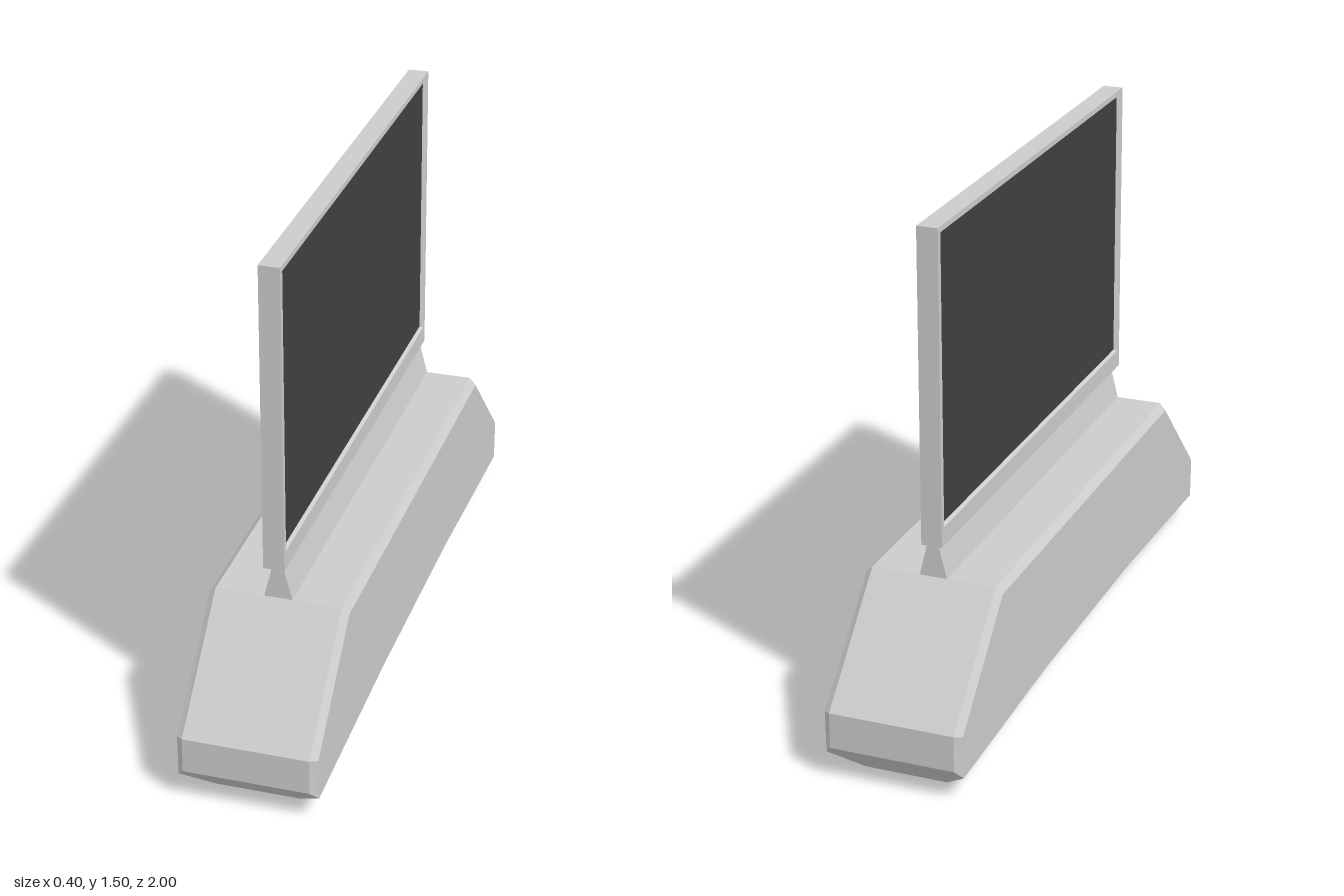
import * as THREE from 'three';

const grey = new THREE.MeshStandardMaterial({ color: 0xcccccc, flatShading: true });
const dark = new THREE.MeshStandardMaterial({ color: 0x404040, flatShading: true });

// Flat-sided mesh from polygons, each cut into a fan from its first corner
function polyMesh(name, polygons, material) {
  const pos = [];
  for (const p of polygons)
    for (let i = 1; i < p.length - 1; i++) pos.push(...p[0], ...p[i], ...p[i + 1]);
  const geo = new THREE.BufferGeometry();
  geo.setAttribute('position', new THREE.Float32BufferAttribute(pos, 3));
  geo.computeVertexNormals();
  const mesh = new THREE.Mesh(geo, material);
  mesh.name = name;
  return mesh;
}

// Mirror the polygons of one quarter across x and z
function fourWay(quarter) {
  const out = [];
  for (const sx of [1, -1]) for (const sz of [1, -1])
    for (const poly of quarter) {
      const p = poly.map(([x, y, z]) => [x * sx, y, z * sz]);
      out.push(sx * sz < 0 ? p.reverse() : p);
    }
  return out;
}

// Flip a polygon's fan start so that concave faces still fan from a safe corner
const fan = (p) => p.slice(1, -1).map((_, i) => [p[0], p[i + 1], p[i + 2]]);

// Rectangle at a given x: half width along z, bottom and top
const rect = (x, h, y0, y1) => [[x, y0, h], [x, y0, -h], [x, y1, -h], [x, y1, h]];

export function createModel() {
  const model = new THREE.Group();

  // Base: a block with sloped ends, chamfered sides and a tapered underside
  const top = [0.18, 0.5, 0.7], shoulder = [0.18, 0.2, 1], nose = [0.18, 0.095, 1];
  const sTop = [0.2, 0.48, 0.695], sShoulder = [0.2, 0.195, 0.983], sNose = [0.2, 0.07, 0.98];
  const sMid = [0.2, 0.095, 0.35], foot = [0.12, 0, 0.905];
  const atX0 = ([, y, z]) => [0, y, z];
  const atZ0 = ([x, y]) => [x, y, 0];
  const base = [
    [[0, 0.5, 0], atX0(top), top, atZ0(top)],
    [atX0(top), atX0(shoulder), shoulder, top],
    [atX0(shoulder), atX0(nose), nose, shoulder],
    [atX0(nose), atX0(foot), foot, nose],
    [atZ0(top), top, sTop, atZ0(sTop)],
    [top, shoulder, sShoulder, sTop],
    [shoulder, nose, sNose, sShoulder],
    [nose, foot, sNose],
    ...fan([atZ0(sTop), sTop, sShoulder, sNose, sMid, atZ0(sMid)]),
    ...fan([atZ0(foot), atZ0(sMid), sMid, sNose, foot]),
    [[0, 0, 0], atZ0(foot), foot, atX0(foot)],
  ];
  model.add(polyMesh('base', fourWay(base), grey));

  // Neck: a long tapered wedge between base and display
  model.add(polyMesh('neck', fourWay([
    [[0.04, 0.5, 0], [0.015, 0.6, 0], [0.015, 0.6, 0.7], [0.04, 0.5, 0.7]],
    [[0, 0.5, 0.7], [0.04, 0.5, 0.7], [0.015, 0.6, 0.7], [0, 0.6, 0.7]],
  ]), grey));

  // Display frame: rings run from one screen, around the rim, to the other
  const rings = [
    rect(0.015, 0.695, 0.66, 1.478),
    rect(0.025, 0.703, 0.654, 1.484),
    rect(0.025, 0.72, 0.6, 1.5),
    rect(-0.035, 0.72, 0.6, 1.5),
    rect(-0.035, 0.703, 0.654, 1.484),
    rect(-0.025, 0.695, 0.66, 1.478),
  ];
  const frame = [];
  for (let r = 0; r < rings.length - 1; r++)
    for (let i = 0; i < 4; i++) {
      const j = (i + 1) % 4;
      frame.push([rings[r][i], rings[r + 1][i], rings[r + 1][j], rings[r][j]]);
    }
  model.add(polyMesh('displayFrame', frame, grey));

  // Recessed dark screens, one on each side
  model.add(polyMesh('leftScreen', [rings[0]], dark));
  model.add(polyMesh('rightScreen', [[...rings[5]].reverse()], dark));

  return model;
}
